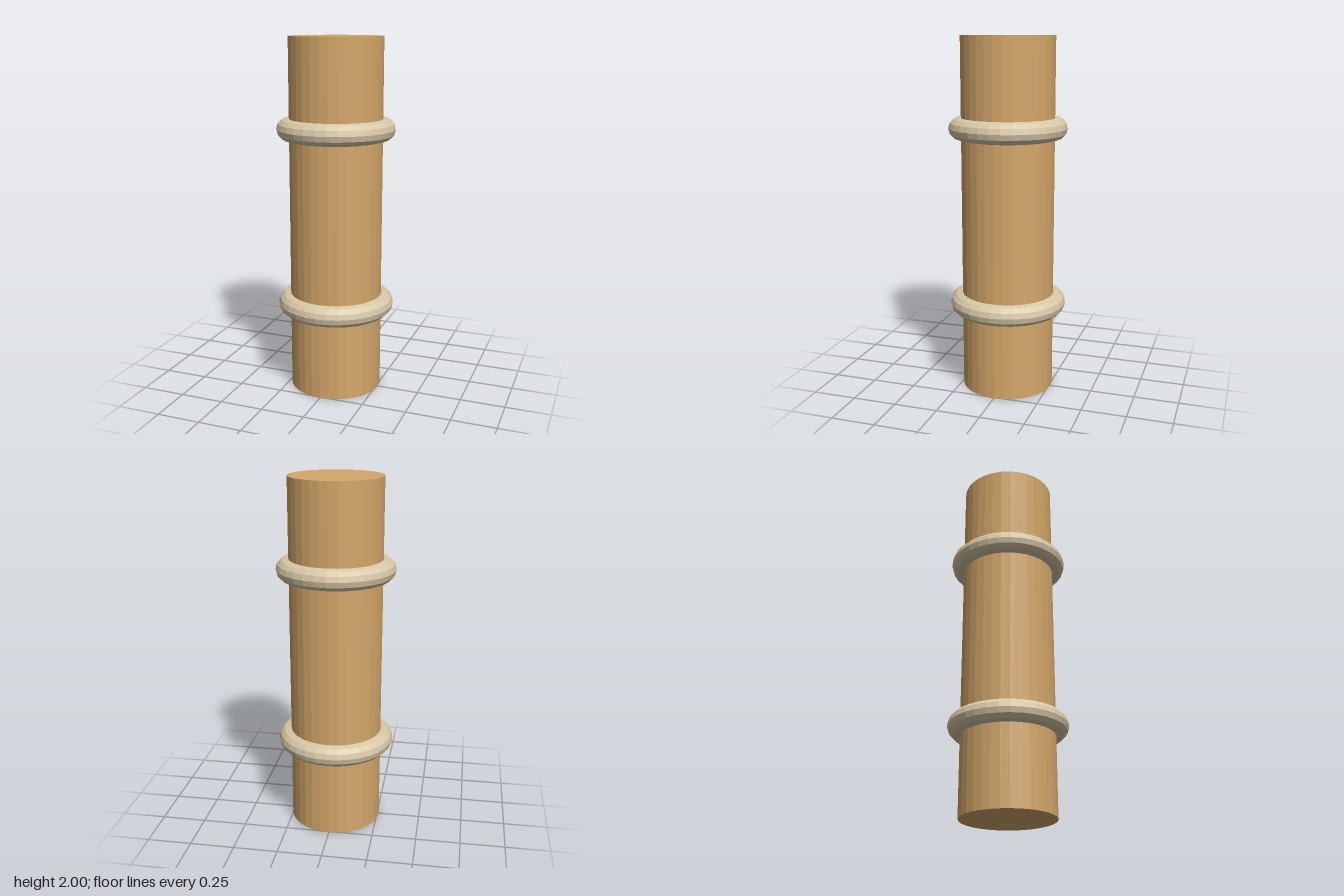
import * as THREE from 'three';

export function createModel() {
  const model = new THREE.Group();
  model.name = 'bandedPost';

  const wood = new THREE.MeshStandardMaterial({ color: 0xd4a76a, flatShading: true });
  wood.name = 'warm wood';
  const rope = new THREE.MeshStandardMaterial({ color: 0xd8c8a8, flatShading: true });
  rope.name = 'pale rope';

  // Round post
  const post = new THREE.Mesh(new THREE.CylinderGeometry(0.26, 0.26, 2, 32), wood);
  post.name = 'post';
  post.position.y = 1;
  model.add(post);

  // Two rings wrapped around the post
  const ringGeometry = new THREE.TorusGeometry(0.27, 0.06, 12, 32).rotateX(Math.PI / 2);
  for (const [name, y] of [['lowerRing', 0.5], ['upperRing', 1.5]]) {
    const ring = new THREE.Mesh(ringGeometry, rope);
    ring.name = name;
    ring.position.y = y;
    model.add(ring);
  }
  return model;
}
